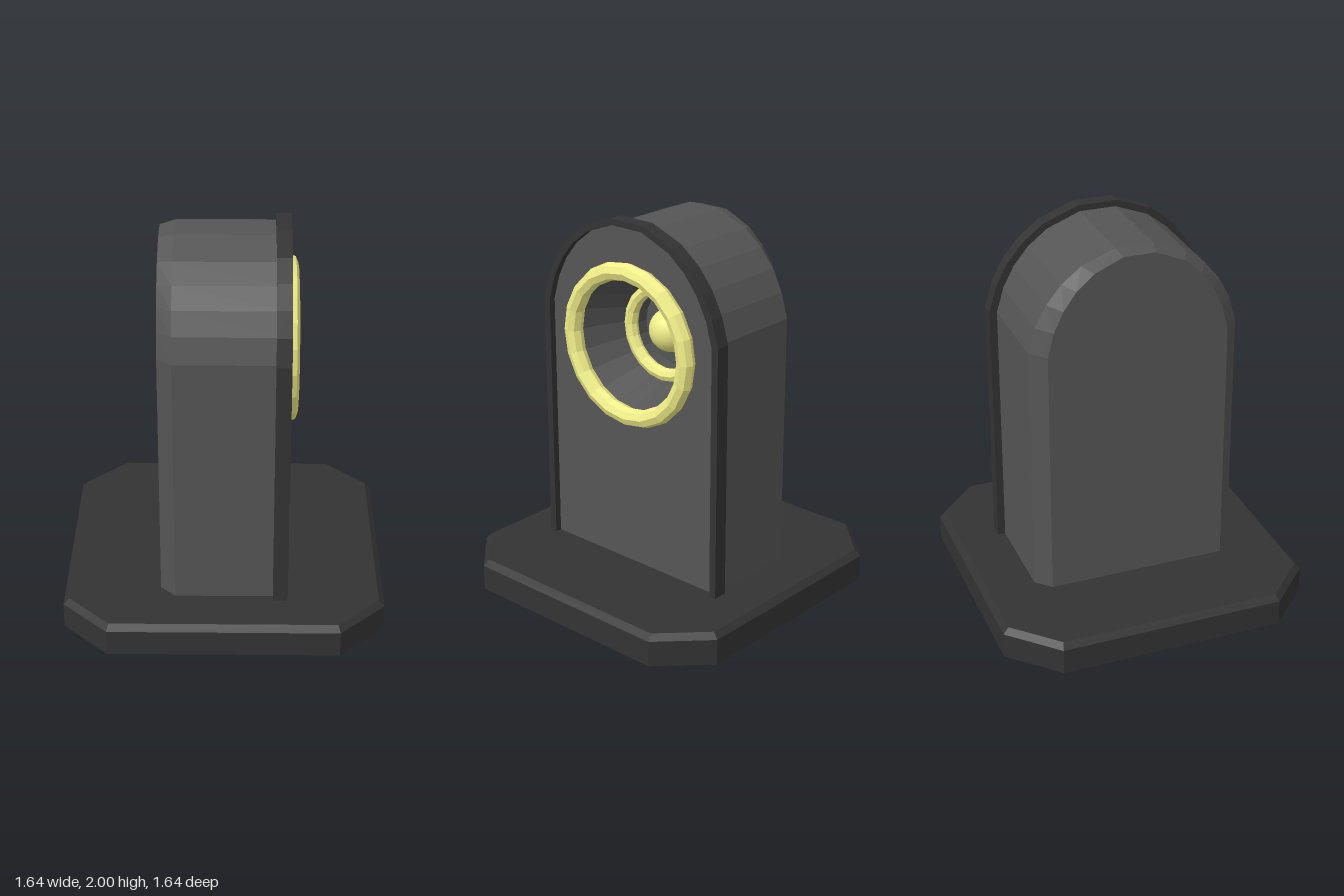
import * as THREE from 'three';

const CENTRE_Y = 1.37;
const dark = new THREE.MeshStandardMaterial({ color: 0x333333, flatShading: true });
const grey = new THREE.MeshStandardMaterial({ color: 0x555555, flatShading: true });
const greyInside = new THREE.MeshStandardMaterial({ color: 0x555555, flatShading: true, side: THREE.DoubleSide });
const yellow = new THREE.MeshStandardMaterial({ color: 0xf0ee88, flatShading: true });
const yellowSmooth = new THREE.MeshStandardMaterial({ color: 0xf0ee88 });

// Arch outline, counter-clockwise from the bottom right corner
function arch(rx, ry) {
  const right = [11.25, 24, 36, 48, 61, 80].map((deg) => {
    const a = THREE.MathUtils.degToRad(deg);
    return [rx * Math.cos(a), CENTRE_Y + ry * Math.sin(a)];
  });
  right.unshift([right[0][0], 0.16]);
  const left = right.map(([x, y]) => [-x, y]).reverse();
  return [...right, ...left];
}

// Square with cut corners, counter-clockwise
function cutSquare(h, c) {
  return [[h, -c], [h, c], [c, h], [-c, h], [-h, c], [-h, -c], [-c, -h], [c, -h]];
}

// Stacks convex outlines along z, with optional flat ends
function loft(sections, capStart, capEnd) {
  const pos = [];
  const tri = (a, b, c) => pos.push(...a, ...b, ...c);
  const loops = sections.map(([z, pts]) => pts.map(([x, y]) => [x, y, z]));
  const n = loops[0].length;
  for (let s = 0; s < loops.length - 1; s++) {
    const lo = loops[s], hi = loops[s + 1];
    for (let i = 0; i < n; i++) {
      const j = (i + 1) % n;
      tri(lo[i], lo[j], hi[j]);
      tri(lo[i], hi[j], hi[i]);
    }
  }
  const first = loops[0], last = loops[loops.length - 1];
  for (let i = 1; i < n - 1; i++) {
    if (capStart) tri(first[0], first[i + 1], first[i]);
    if (capEnd) tri(last[0], last[i], last[i + 1]);
  }
  const g = new THREE.BufferGeometry();
  g.setAttribute('position', new THREE.Float32BufferAttribute(pos, 3));
  g.computeVertexNormals();
  return g;
}

const toShape = (pts) => new THREE.Shape(pts.map(([x, y]) => new THREE.Vector2(x, y)));

export function createModel() {
  const model = new THREE.Group();
  model.name = 'archedSocketStand';
  // The upper part is built facing +z, then turned to face +x
  const housing = new THREE.Group();
  housing.name = 'housing';
  housing.rotation.y = Math.PI / 2;
  model.add(housing);

  const add = (parent, name, geometry, material, x = 0, y = 0, z = 0) => {
    const mesh = new THREE.Mesh(geometry, material);
    mesh.name = name;
    mesh.position.set(x, y, z);
    parent.add(mesh);
    return mesh;
  };

  // Base plate with cut corners and a chamfered top edge
  const base = add(model, 'base', loft([
    [0, cutSquare(0.82, 0.585)],
    [0.135, cutSquare(0.82, 0.585)],
    [0.165, cutSquare(0.79, 0.575)],
  ], true, true), dark);
  base.rotation.x = -Math.PI / 2;

  // Arched body with chamfered back edge
  const bodyArch = arch(0.556, 0.61);
  const faceZ = 0.29;
  add(housing, 'body', loft([
    [-0.325, arch(0.48, 0.59)],
    [-0.25, bodyArch],
    [faceZ, bodyArch],
  ], true, false), grey);

  // Front panel with a round opening
  const panel = toShape(bodyArch);
  const segments = 20;
  const hole = new THREE.Path();
  for (let i = 0; i < segments; i++) {
    const a = (i / segments) * Math.PI * 2;
    const x = 0.35 * Math.cos(a), y = CENTRE_Y + 0.35 * Math.sin(a);
    if (i) hole.lineTo(x, y);
    else hole.moveTo(x, y);
  }
  hole.closePath();
  panel.holes.push(hole);
  add(housing, 'frontPanel', new THREE.ShapeGeometry(panel), grey, 0, 0, faceZ);

  // Raised rim around the panel, open at the bottom
  const rim = toShape([...arch(0.596, 0.643), ...bodyArch.slice().reverse()]);
  add(housing, 'rim', new THREE.ExtrudeGeometry(rim, { depth: 0.075, bevelEnabled: false }),
    dark, 0, 0, 0.25);

  // Funnel-shaped socket
  const profile = [[0, -0.03], [0.2, -0.03], [0.2, 0.03], [0.25, 0.03], [0.35, faceZ]]
    .map(([r, z]) => new THREE.Vector2(r, z));
  const socket = add(housing, 'socket', new THREE.LatheGeometry(profile, segments), greyInside, 0, CENTRE_Y);
  socket.rotation.x = Math.PI / 2;

  // Rings and centre ball
  add(housing, 'outerRing', new THREE.TorusGeometry(0.38, 0.047, 8, segments), yellow, 0, CENTRE_Y, 0.32);
  add(housing, 'innerRing', new THREE.TorusGeometry(0.23, 0.036, 8, segments), yellow, 0, CENTRE_Y, 0.05);
  add(housing, 'ball', new THREE.SphereGeometry(0.115, 32, 16), yellowSmooth, 0, CENTRE_Y, 0);

  return model;
}
